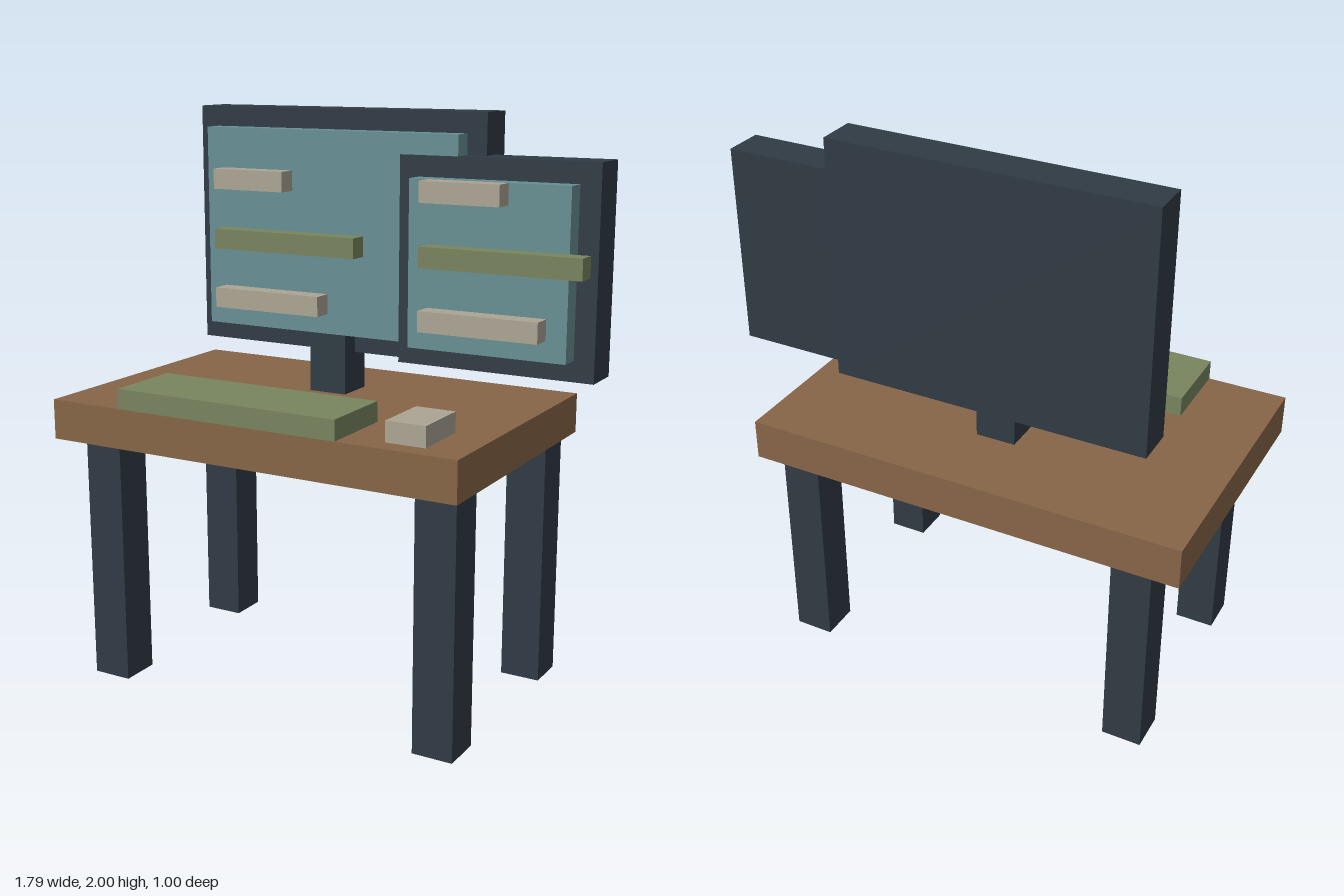
import * as THREE from 'three';

// The whole model sits on a grid of 28 cells to its height.
const U = 2 / 28;

const mat = (color) => new THREE.MeshStandardMaterial({ color, flatShading: true });

export function createModel() {
  const model = new THREE.Group();
  const wood = mat(0x876547);
  const dark = mat(0x303b44);
  const teal = mat(0x678f93);
  const green = mat(0x78845f);
  const beige = mat(0xaca594);

  // Box from its [min, max] extents in grid cells
  function block(parent, name, material, [x0, x1], [y0, y1], [z0, z1]) {
    const geo = new THREE.BoxGeometry((x1 - x0) * U, (y1 - y0) * U, (z1 - z0) * U);
    const mesh = new THREE.Mesh(geo, material);
    mesh.name = name;
    mesh.position.set((x0 + x1) / 2 * U, (y0 + y1) / 2 * U, (z0 + z1) / 2 * U);
    parent.add(mesh);
  }

  // Desk: top and four legs
  const desk = new THREE.Group();
  desk.name = 'desk';
  block(desk, 'deskTop', wood, [-12.5, 9.5], [12, 14], [-7, 7]);
  for (const [side, x] of [['Right', -10.5], ['Left', 7.5]]) {
    for (const [end, z] of [['front', 5], ['back', -5]]) {
      block(desk, `${end}${side}Leg`, dark, [x, x + 2], [0, 12], [z, z + 2]);
    }
  }
  model.add(desk);

  // Monitor: casing, raised screen and three bars of screen content
  function monitor(name, x0, x1, top, front) {
    const group = new THREE.Group();
    group.name = name;
    block(group, 'casing', dark, [x0, x1], [16, top], [front - 2, front]);
    block(group, 'screen', teal, [x0 + 1, x1 - 1], [17, top - 1], [front, front + 1]);
    const bars = [[4, 24, beige], [8, 21, green], [6, 18, beige]];
    for (const [length, y, material] of bars) {
      block(group, 'screenBar', material, [x0 + 2, x0 + 2 + length], [y, y + 1], [front + 1, front + 2]);
    }
    model.add(group);
  }
  monitor('mainMonitor', -9.5, 6.5, 28, -2);
  // set a hair forward so its casing covers the main screen behind it
  monitor('sideMonitor', 2.5, 12.5, 26, -0.97);

  block(model, 'monitorStand', dark, [-2.5, -0.5], [14, 17], [-3, -1]);

  // Items on the desk
  block(model, 'keyboard', green, [-8.5, 3.5], [14, 15], [3, 7]);
  block(model, 'mouse', beige, [5.5, 7.5], [14, 15], [3, 6]);

  return model;
}
